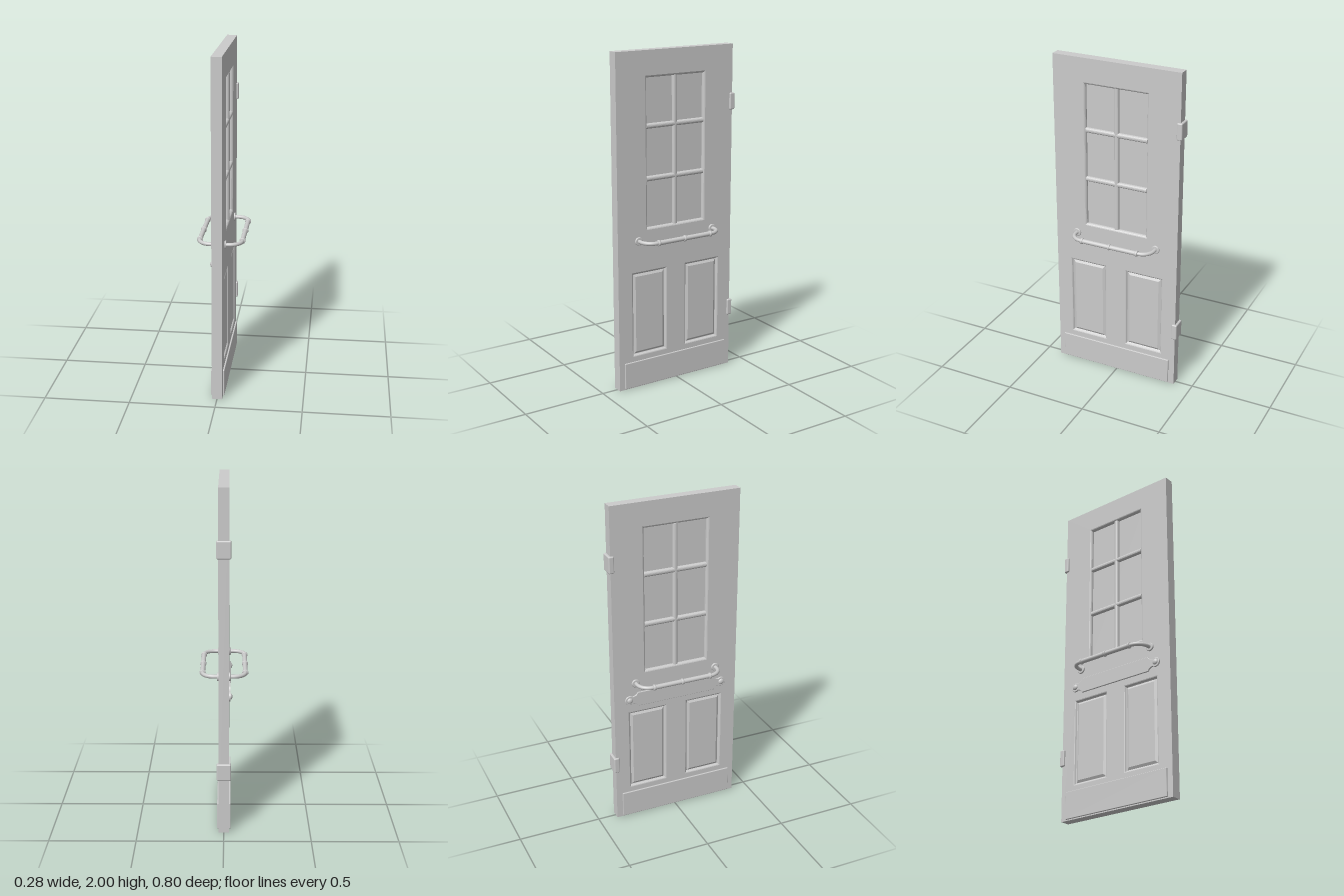
import * as THREE from 'three';
import { RoundedBoxGeometry } from 'three/addons/geometries/RoundedBoxGeometry.js';

const mat = new THREE.MeshStandardMaterial({ color: 0xcccccc });
const T = 0.03; // half thickness of the door

// openings as [zMin, zMax, yMin, yMax]
const WINDOW = [-0.197, 0.21, 0.965, 1.858];
const PANELS = [[-0.3, -0.056, 0.198, 0.72], [0.07, 0.31, 0.198, 0.72]];

function add(parent, name, geometry, x = 0, y = 0, z = 0) {
  const mesh = new THREE.Mesh(geometry, mat);
  mesh.name = name;
  mesh.position.set(x, y, z);
  parent.add(mesh);
  return mesh;
}

// concentric rectangles [inset, height] joined by mitred strips; optional flat centre
function rectLoft(w, h, rings, filled) {
  const pos = [];
  const loop = ([inset, d]) => {
    const a = w / 2 - inset, b = h / 2 - inset;
    return [[-a, -b, d], [a, -b, d], [a, b, d], [-a, b, d]];
  };
  const quad = (a, b, c, d) => pos.push(...a, ...b, ...c, ...a, ...c, ...d);
  for (let i = 0; i + 1 < rings.length; i++) {
    const o = loop(rings[i]), n = loop(rings[i + 1]);
    for (let k = 0; k < 4; k++) quad(o[k], o[(k + 1) % 4], n[(k + 1) % 4], n[k]);
  }
  if (filled) quad(...loop(rings[rings.length - 1]));
  const g = new THREE.BufferGeometry();
  g.setAttribute('position', new THREE.Float32BufferAttribute(pos, 3));
  g.computeVertexNormals();
  return g;
}

// rectangle in door coordinates, drawn with local x = -z
function rectPath(PathType, [z0, z1, y0, y1]) {
  return new PathType([[-z1, y0], [-z0, y0], [-z0, y1], [-z1, y1]].map(p => new THREE.Vector2(...p)));
}

function collarGeometry(r, len) {
  const l = len / 2, c = 0.004;
  const pts = [[0.008, -l], [r - c, -l], [r - 0.0012, -l + 0.0012], [r, -l + c],
    [r, l - c], [r - 0.0012, l - 0.0012], [r - c, l], [0.008, l]];
  return new THREE.LatheGeometry(pts.map(p => new THREE.Vector2(...p)), 24);
}

// bent pull bar with end roses and collars
function makeHandle() {
  const g = new THREE.Group();
  g.name = 'pullBar';
  const half = 0.257, out = 0.123, bend = 0.07, k = 0.45 * bend;
  const V = (x, z) => new THREE.Vector3(x, 0, z);
  for (const e of [-1, 1]) {
    const path = new THREE.CurvePath();
    path.add(new THREE.LineCurve3(V(e * half, T - 0.005), V(e * half, out - bend)));
    path.add(new THREE.CubicBezierCurve3(V(e * half, out - bend), V(e * half, out - bend + bend - k),
      V(e * (half - k), out), V(e * (half - bend), out)));
    path.add(new THREE.LineCurve3(V(e * (half - bend), out), V(e * 0.17, out)));
    add(g, 'barBend', new THREE.TubeGeometry(path, 32, 0.0115, 14));
    add(g, 'barRose', collarGeometry(0.025, 0.014), e * half, 0, T + 0.002).rotation.x = Math.PI / 2;
  }
  add(g, 'barGrip', new THREE.CylinderGeometry(0.0138, 0.0138, 0.36, 20), 0, 0, out).rotation.z = Math.PI / 2;
  for (const x of [-0.178, 0, 0.178])
    add(g, 'barCollar', collarGeometry(0.018, 0.015), x, 0, out).rotation.z = Math.PI / 2;
  return g;
}

// flat plate with tapering ends that finish in round screw lobes
function makePlate() {
  const g = new THREE.Group();
  g.name = 'namePlate';
  const s = new THREE.Shape();
  s.moveTo(-0.245, -0.042);
  s.lineTo(0.245, -0.042);
  s.quadraticCurveTo(0.255, -0.02, 0.28, -0.02);
  s.absarc(0.297, 0, 0.026, -2.27, 2.27, false);
  s.quadraticCurveTo(0.255, 0.02, 0.245, 0.042);
  s.lineTo(-0.245, 0.042);
  s.quadraticCurveTo(-0.255, 0.02, -0.28, 0.02);
  s.absarc(-0.297, 0, 0.026, Math.PI - 2.27, Math.PI + 2.27, false);
  s.quadraticCurveTo(-0.255, -0.02, -0.245, -0.042);
  add(g, 'plateBody', new THREE.ExtrudeGeometry(s, {
    depth: 0.007, bevelThickness: 0.002, bevelSize: 0.002, bevelSegments: 2, curveSegments: 16,
  }), 0, 0, T);
  for (const x of [-0.297, 0.297]) {
    const screw = add(g, 'plateScrew', new THREE.SphereGeometry(0.018, 20, 8, 0, Math.PI * 2, 0, Math.PI / 2), x, 0, T + 0.008);
    screw.rotation.x = Math.PI / 2;
    screw.scale.y = 0.6;
  }
  return g;
}

// everything mounted on one face; s = 1 for +x, -1 for -x
function makeFace(s) {
  const face = new THREE.Group();
  face.name = s > 0 ? 'leftFace' : 'rightFace';
  face.rotation.y = s * Math.PI / 2;
  const u = z => -s * z;

  // window moulding and glazing bars
  const [z0, z1, y0, y1] = WINDOW, zc = (z0 + z1) / 2, yc = (y0 + y1) / 2;
  const w = z1 - z0, h = y1 - y0;
  add(face, 'windowMoulding', rectLoft(w, h,
    [[0, T], [0.005, 0.028], [0.009, 0.024], [0.012, 0.018], [0.012, 0.008]], false), u(zc), yc, 0);
  const bar = len => {
    const p = new THREE.Shape();
    p.moveTo(-0.015, 0.008);
    p.lineTo(0.015, 0.008);
    p.lineTo(0.015, 0.015);
    p.quadraticCurveTo(0.013, 0.028, 0, 0.028);
    p.quadraticCurveTo(-0.013, 0.028, -0.015, 0.015);
    return new THREE.ExtrudeGeometry(p, { depth: len, bevelEnabled: false, curveSegments: 5 })
      .translate(0, 0, -len / 2).rotateX(Math.PI / 2).scale(1, 1, -1);
  };
  const solidBar = len => { // restore outward winding after the flip
    const g = bar(len).toNonIndexed(), p = g.attributes.position;
    for (let i = 0; i < p.count; i += 3) {
      const a = [p.getX(i), p.getY(i), p.getZ(i)];
      p.setXYZ(i, p.getX(i + 2), p.getY(i + 2), p.getZ(i + 2));
      p.setXYZ(i + 2, ...a);
    }
    g.computeVertexNormals();
    return g;
  };
  add(face, 'verticalGlazingBar', solidBar(h - 0.02), u(zc), yc, 0);
  for (const y of [1.265, 1.57])
    add(face, 'crossGlazingBar', solidBar(w - 0.02), u(zc), y, 0).rotation.z = Math.PI / 2;

  // raised lower panels
  for (const [a, b, c, d] of PANELS)
    add(face, 'raisedPanel', rectLoft(b - a, d - c,
      [[0, T], [0.005, 0.028], [0.01, 0.02], [0.014, 0.017], [0.028, 0.025]], true),
    u((a + b) / 2), (c + d) / 2, 0);

  add(face, 'kickPlate', new RoundedBoxGeometry(0.716, 0.16, 0.018, 2, 0.003), u(0.007), 0.087, T);

  const handle = makeHandle();
  handle.position.set(u(0.005), 0.907, 0);
  face.add(handle);

  if (s < 0) {
    const plate = makePlate();
    plate.position.set(u(0.005), 0.802, 0);
    face.add(plate);
  }
  return face;
}

export function createModel() {
  const model = new THREE.Group();
  model.name = 'door';

  // slab with window and panel openings
  const outline = rectPath(THREE.Shape, [-0.388, 0.4, 0, 2]);
  outline.holes = [WINDOW, ...PANELS].map(r => rectPath(THREE.Path, r));
  const slab = new THREE.ExtrudeGeometry(outline, { depth: 2 * T, bevelEnabled: false });
  add(model, 'doorSlab', slab.translate(0, 0, -T).rotateY(Math.PI / 2));

  const [z0, z1, y0, y1] = WINDOW;
  add(model, 'windowPane', new THREE.BoxGeometry(0.02, y1 - y0, z1 - z0), 0, (y0 + y1) / 2, (z0 + z1) / 2);

  for (const s of [1, -1]) model.add(makeFace(s));

  // hinges wrapped around the rear edge
  for (const y of [0.378, 1.665])
    add(model, 'hinge', new RoundedBoxGeometry(0.082, 0.1, 0.033, 3, 0.007), 0, y, -0.3845);
  return model;
}
